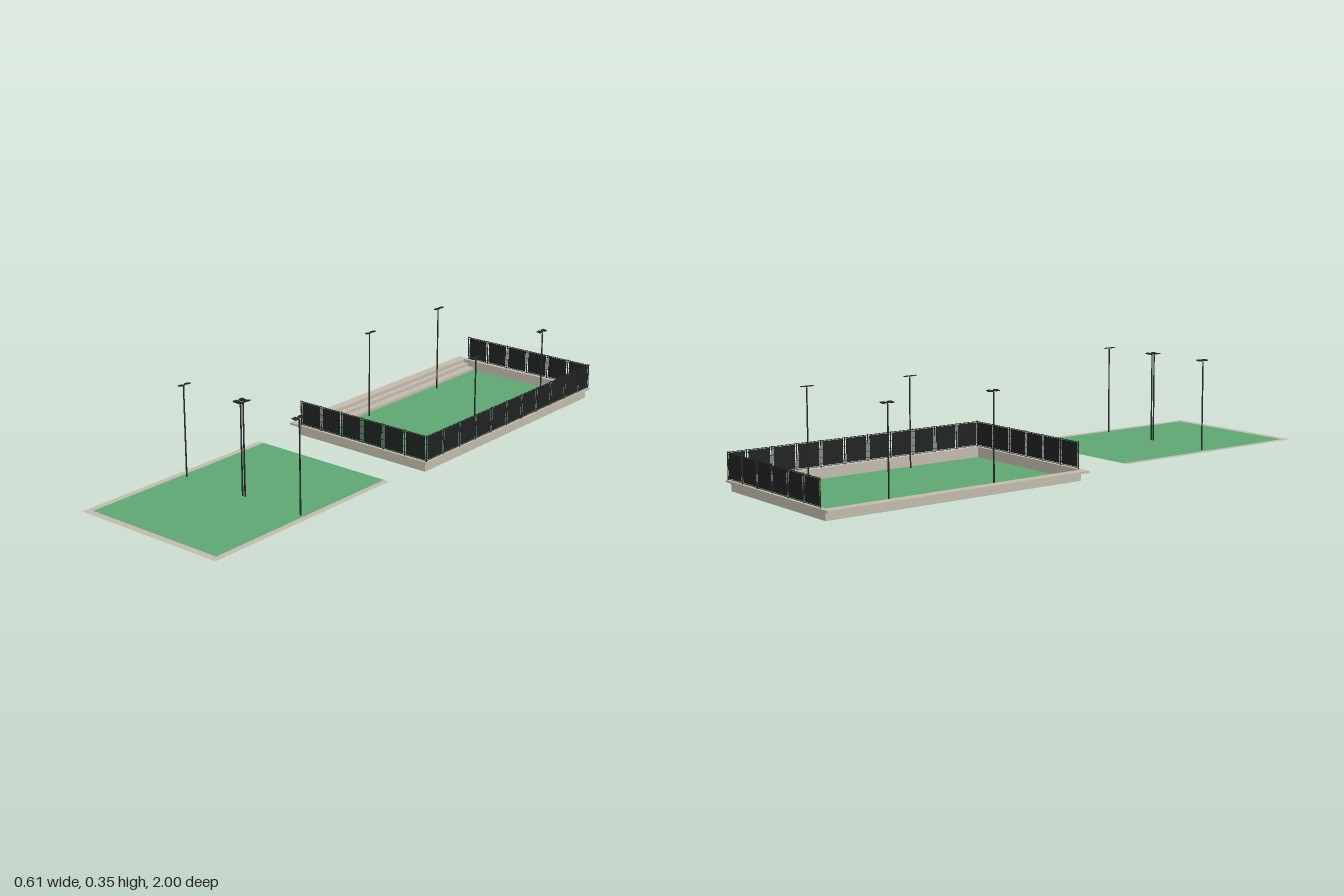
import * as THREE from 'three';

const mat = (name, color, side = THREE.FrontSide) => {
  const m = new THREE.MeshStandardMaterial({ color, side });
  m.name = name;
  return m;
};

export function createModel() {
  const root = new THREE.Group();
  root.name = 'sportsCourts';
  const concrete = mat('concrete', 0xc2baac, THREE.DoubleSide);
  const turf = mat('greenTurf', 0x5fa672, THREE.DoubleSide);
  const dark = mat('darkMetal', 0x242625);
  const mesh = mat('fenceMesh', 0x202121);

  // Box given by its min and max corners
  const box = (parent, name, m, x0, x1, y0, y1, z0, z1) => {
    const b = new THREE.Mesh(new THREE.BoxGeometry(x1 - x0, y1 - y0, z1 - z0), m);
    b.position.set((x0 + x1) / 2, (y0 + y1) / 2, (z0 + z1) / 2);
    b.name = name;
    parent.add(b);
    return b;
  };
  // Flat horizontal sheet
  const sheet = (parent, name, m, x0, x1, z0, z1, y) => {
    const p = new THREE.Mesh(new THREE.PlaneGeometry(x1 - x0, z1 - z0).rotateX(-Math.PI / 2), m);
    p.position.set((x0 + x1) / 2, y, (z0 + z1) / 2);
    p.name = name;
    parent.add(p);
  };

  // Flat court with a concrete border on three sides
  const flat = new THREE.Group();
  flat.name = 'flatCourt';
  root.add(flat);
  const fy = 0.032;
  sheet(flat, 'turf', turf, -0.25, 0.28, 0.2, 0.975, fy);
  sheet(flat, 'borderRight', concrete, -0.272, -0.25, 0.2, 1, fy);
  sheet(flat, 'borderLeft', concrete, 0.28, 0.302, 0.2, 1, fy);
  sheet(flat, 'borderFront', concrete, -0.25, 0.28, 0.975, 1, fy);

  // Sunken court: floor, walls and overhanging cap
  const sunk = new THREE.Group();
  sunk.name = 'sunkenCourt';
  root.add(sunk);
  const zF = -0.004, zB = -0.987, xR = -0.272, xL = 0.291, top = 0.038, cap = 0.031;
  sheet(sunk, 'turf', turf, xR, xL, zB, zF, 0.001);
  box(sunk, 'frontWall', concrete, xR, xL, 0.0015, cap, zF - 0.003, zF);
  box(sunk, 'backWall', concrete, xR, xL, 0.0015, cap, zB, zB + 0.003);
  box(sunk, 'leftWall', concrete, xL - 0.003, xL, 0.0015, cap, zB, zF);
  box(sunk, 'frontCap', concrete, -0.305, 0.302, cap, top, zF - 0.004, 0.003);
  box(sunk, 'backCap', concrete, -0.305, 0.302, cap, top, -1, zB + 0.003);
  box(sunk, 'leftCap', concrete, xL - 0.004, 0.302, cap, top, zB, zF);

  // Seating steps along the open side
  box(sunk, 'lowStep', concrete, -0.251, -0.224, 0.0015, 0.0125, zB + 0.003, zF - 0.003);
  box(sunk, 'middleStep', concrete, xR, -0.251, 0.0015, 0.025, zB + 0.003, zF - 0.003);
  box(sunk, 'topStep', concrete, -0.305, -0.27, cap, top, zB + 0.003, zF - 0.004);
  box(sunk, 'topRiser', concrete, -0.278, -0.27, 0.025, cap, zB + 0.003, zF - 0.003);

  // Fence run along local +x: posts, rails, mesh panels and clamps
  const pitch = 0.0923, y0 = top, y1 = 0.13;
  const fence = (name, length) => {
    const g = new THREE.Group();
    g.name = name;
    const post = x => box(g, 'fencePost', dark, x - 0.0012, x + 0.0012, y0, y1, -0.0015, 0.0015);
    for (let x = 0; x < length - 0.01; x += pitch) {
      const end = Math.min(x + pitch, length);
      post(x);
      box(g, 'fencePanel', mesh, x + 0.0065, end - 0.0065, 0.044, 0.125, -0.0007, 0.0007);
      for (const y of [0.05, 0.072, 0.098, 0.12]) {
        box(g, 'clampStart', dark, x, x + 0.0068, y - 0.0007, y + 0.0007, -0.0007, 0.0007);
        box(g, 'clampEnd', dark, end - 0.0068, end, y - 0.0007, y + 0.0007, -0.0007, 0.0007);
      }
    }
    post(length);
    box(g, 'topRail', dark, 0, length, 0.1265, 0.1285, -0.001, 0.001);
    box(g, 'bottomRail', dark, 0, length, 0.0405, 0.042, -0.001, 0.001);
    root.add(g);
    return g;
  };
  fence('frontFence', 6 * pitch).position.set(-0.257, 0, -0.003);
  fence('backFence', 6 * pitch).position.set(-0.257, 0, -0.994);
  const side = fence('leftFence', 0.991);
  side.position.set(0.2965, 0, -0.003);
  side.rotation.y = Math.PI / 2;

  // Floodlight: pole, curved arm and a pair of heads; dir is the way the arm points
  const light = (x, y, z, dir) => {
    const g = new THREE.Group();
    g.name = 'floodlight';
    const pole = new THREE.Mesh(new THREE.CylinderGeometry(0.0024, 0.0026, 0.313, 8), dark);
    pole.position.y = 0.1565;
    pole.name = 'pole';
    g.add(pole);
    const curve = new THREE.QuadraticBezierCurve3(
      new THREE.Vector3(0, 0.311, 0), new THREE.Vector3(0.001, 0.319, 0), new THREE.Vector3(0.009, 0.3185, 0));
    const arm = new THREE.Mesh(new THREE.TubeGeometry(curve, 6, 0.0013, 6), dark);
    arm.name = 'arm';
    g.add(arm);
    box(g, 'crossBar', dark, 0.001, 0.004, 0.3155, 0.3175, -0.021, 0.021);
    for (const s of [-1, 1]) {
      const head = box(g, 'lampHead', dark, -0.004, 0.012, 0.3165, 0.3195, s * 0.0135 - 0.008, s * 0.0135 + 0.008);
      head.rotation.z = 0.15;
    }
    g.position.set(x, y, z);
    if (dir < 0) g.rotation.y = Math.PI;
    root.add(g);
  };
  for (const [x, dir] of [[-0.229, 1], [0.021, -1], [0.032, 1], [0.266, -1]]) light(x, fy, 0.59, dir);
  for (const z of [-0.31, -0.715]) {
    light(-0.2, 0.001, z, 1);
    light(0.269, 0.001, z, -1);
  }
  return root;
}
